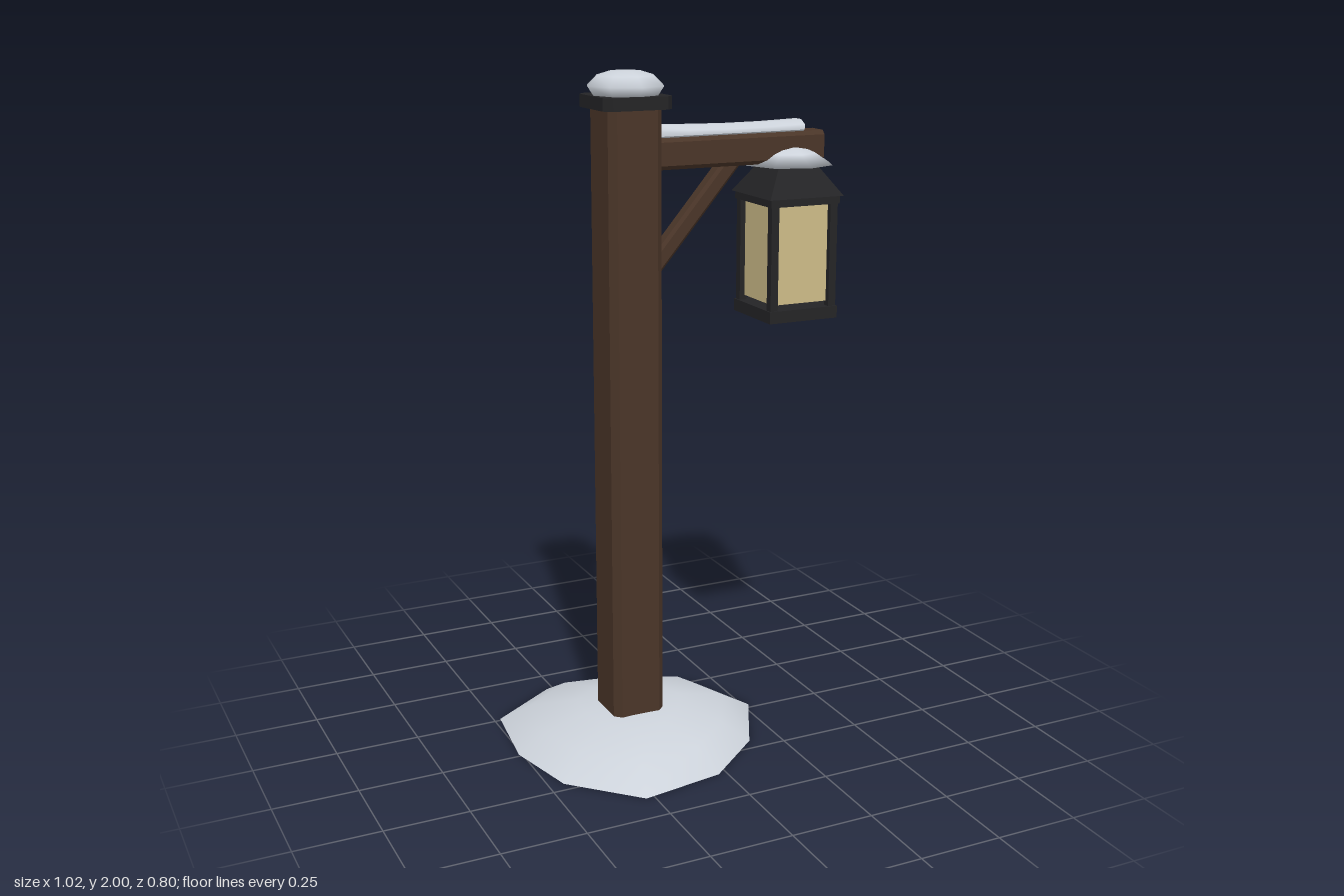
import * as THREE from 'three';

const mat = (color, opts = {}) => new THREE.MeshStandardMaterial({ color, ...opts });
const wood = mat(0x4a3528, { flatShading: true });
const iron = mat(0x242426, { flatShading: true });
const glass = mat(0xcdbb88, { flatShading: true });
const snow = mat(0xccd2da, { side: THREE.DoubleSide });

const POST_X = -0.145, LAMP_X = 0.372, Z = -0.011;

function add(parent, name, geometry, material, x = 0, y = 0, z = 0) {
  const mesh = new THREE.Mesh(geometry, material);
  mesh.name = name;
  mesh.position.set(x, y, z);
  parent.add(mesh);
  return mesh;
}

// Bar with chamfered long edges, running up +y from the origin
function chamferBar(w, d, length, c) {
  const a = w / 2, b = d / 2;
  const s = new THREE.Shape([
    [a - c, -b], [a, -b + c], [a, b - c], [a - c, b],
    [-a + c, b], [-a, b - c], [-a, -b + c], [-a + c, -b],
  ].map(([x, y]) => new THREE.Vector2(x, y)));
  return new THREE.ExtrudeGeometry(s, { depth: length, bevelEnabled: false }).rotateX(-Math.PI / 2);
}

const lathe = (pts, sides) =>
  new THREE.LatheGeometry(pts.map(([r, y]) => new THREE.Vector2(r, y)), sides);

// Irregular mound: one outline shrunk and raised ring by ring
function moundGeometry() {
  const outline = [
    [-0.27, -0.4], [-0.03, -0.36], [0.18, -0.25], [0.27, -0.02], [0.155, 0.205],
    [-0.025, 0.355], [-0.275, 0.395], [-0.455, 0.215], [-0.51, -0.01], [-0.48, -0.26],
  ];
  const rings = [[1, 0], [0.77, 0.055], [0.4, 0.09], [0, 0.098]];
  const n = outline.length, pos = [], index = [];
  for (const [k, y] of rings)
    for (const [x, z] of outline) pos.push(POST_X + (x - POST_X) * k, y, Z + (z - Z) * k);
  for (let r = 0; r < rings.length - 1; r++)
    for (let i = 0; i < n; i++) {
      const j = (i + 1) % n, a = r * n + i, b = r * n + j, c = a + n, d = b + n;
      index.push(a, c, b);
      if (r < rings.length - 2) index.push(b, c, d);
    }
  const g = new THREE.BufferGeometry();
  g.setAttribute('position', new THREE.Float32BufferAttribute(pos, 3));
  g.setIndex(index);
  g.computeVertexNormals();
  // The tip vertices share a point, so they share an upright normal
  for (let i = 0; i < n; i++) g.attributes.normal.setXYZ((rings.length - 1) * n + i, 0, 1, 0);
  return g;
}

// Rounded strip of snow with a slight sag along its length
function armSnowGeometry(length) {
  const g = new THREE.CylinderGeometry(1, 1, length, 8, 4);
  g.rotateY(Math.PI / 8).rotateZ(-Math.PI / 2).scale(1, 0.023, 0.042);
  const p = g.attributes.position;
  for (let i = 0; i < p.count; i++) {
    const t = p.getX(i) / (length / 2);
    if (p.getY(i) > 0) p.setY(i, p.getY(i) - 0.006 * Math.cos(t * Math.PI / 2 - 0.3));
  }
  g.computeVertexNormals();
  return g;
}

function createLantern() {
  const g = new THREE.Group();
  g.name = 'lantern';
  add(g, 'lanternBase', new THREE.BoxGeometry(0.226, 0.036, 0.226), iron, 0, 1.283);
  add(g, 'lanternGlass', new THREE.BoxGeometry(0.186, 0.305, 0.186), glass, 0, 1.4675);
  for (const sx of [-1, 1])
    for (const sz of [-1, 1])
      add(g, 'lanternCorner', new THREE.BoxGeometry(0.024, 0.33, 0.024), iron, sx * 0.097, 1.46, sz * 0.097);
  add(g, 'lanternTopRing', new THREE.BoxGeometry(0.226, 0.026, 0.226), iron, 0, 1.618);
  // Four-sided tapering roof
  const k = Math.SQRT2;
  const roof = new THREE.CylinderGeometry(0.062 * k, 0.121 * k, 0.088, 4).rotateY(Math.PI / 4);
  add(g, 'lanternRoof', roof, iron, 0, 1.672);
  add(g, 'lanternHanger', new THREE.CylinderGeometry(0.02, 0.02, 0.05, 8), iron, 0, 1.73);
  add(g, 'lanternSnow', lathe([[0.05, 1.718], [0.136, 1.715], [0.085, 1.748], [0.045, 1.765], [0, 1.771]], 8), snow);
  g.position.set(LAMP_X, 0, Z);
  return g;
}

export function createModel() {
  const model = new THREE.Group();
  model.name = 'lampPost';

  add(model, 'snowMound', moundGeometry(), snow);

  // Post and its cap
  add(model, 'post', chamferBar(0.162, 0.162, 1.9, 0.02), wood, POST_X, 0, Z);
  add(model, 'postCap', chamferBar(0.208, 0.208, 0.036, 0.022), iron, POST_X, 1.896, Z);
  add(model, 'postCapSnow',
    lathe([[0, 1.93], [0.095, 1.93], [0.114, 1.958], [0.085, 1.985], [0.045, 1.997], [0, 2]], 8),
    snow, POST_X, 0, Z);

  // Arm reaching to the left, with its brace
  const arm = add(model, 'arm', chamferBar(0.09, 0.084, 0.6, 0.012), wood, -0.13, 1.766, Z);
  arm.rotation.z = -Math.PI / 2;
  const from = new THREE.Vector2(-0.095, 1.41), to = new THREE.Vector2(0.19, 1.743);
  const dir = to.clone().sub(from);
  const brace = add(model, 'brace', chamferBar(0.05, 0.052, dir.length(), 0.009), wood, from.x, from.y, Z);
  brace.rotation.z = dir.angle() - Math.PI / 2;
  add(model, 'armSnow', armSnowGeometry(0.49), snow, 0.16, 1.824, Z);

  model.add(createLantern());
  return model;
}
